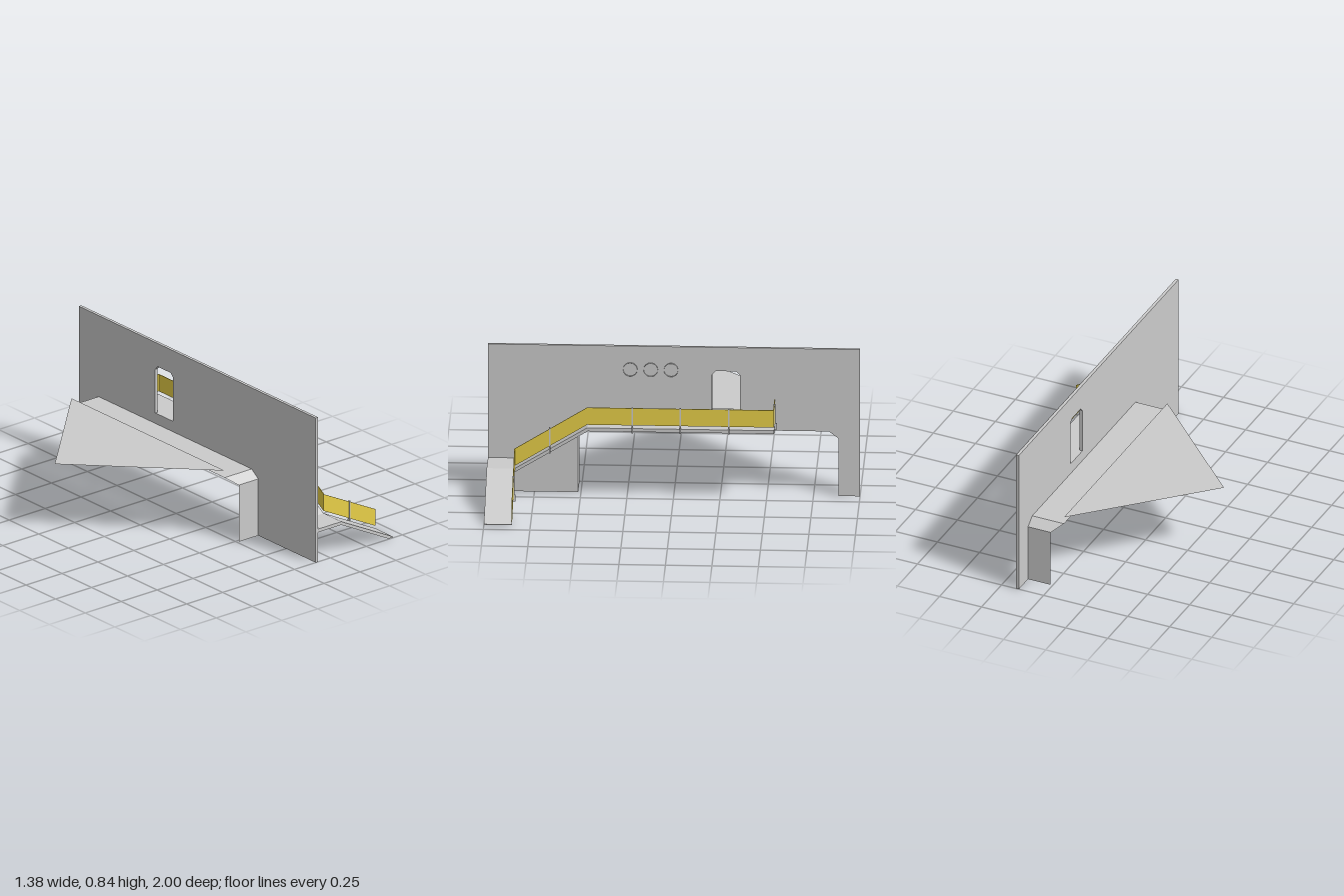
import * as THREE from 'three';

const grey = new THREE.MeshStandardMaterial({ color: 0xcccccc, flatShading: true });
const sheet = new THREE.MeshStandardMaterial({ color: 0xcccccc, flatShading: true, side: THREE.DoubleSide });
const yellow = new THREE.MeshStandardMaterial({ color: 0xe8d048, flatShading: true, side: THREE.DoubleSide });

const toShape = (pts) => new THREE.Shape(pts.map(([a, b]) => new THREE.Vector2(a, b)));

// Profile in (x, y), extruded along z from z0 to z1
function slabZ(shape, z0, z1) {
  return new THREE.ExtrudeGeometry(shape, { depth: z1 - z0, bevelEnabled: false }).translate(0, 0, z0);
}

// Profile in (z, y), extruded along x from x0 to x1
function slabX(shape, x0, x1) {
  return new THREE.ExtrudeGeometry(shape, { depth: x1 - x0, bevelEnabled: false })
    .rotateY(-Math.PI / 2).translate(x1, 0, 0);
}

// Open strip joining two polylines with the same number of points
function strip(a, b) {
  const pos = [];
  for (let i = 0; i < a.length - 1; i++) {
    pos.push(...a[i], ...b[i], ...b[i + 1], ...a[i], ...b[i + 1], ...a[i + 1]);
  }
  const g = new THREE.BufferGeometry();
  g.setAttribute('position', new THREE.Float32BufferAttribute(pos, 3));
  g.computeVertexNormals();
  return g;
}

export function createModel() {
  const model = new THREE.Group();
  model.name = 'wallWithWalkway';
  const add = (name, geometry, material = grey) => {
    const mesh = new THREE.Mesh(geometry, material);
    mesh.name = name;
    model.add(mesh);
  };
  const box = (name, x0, x1, y0, y1, z0, z1) =>
    add(name, new THREE.BoxGeometry(x1 - x0, y1 - y0, z1 - z0)
      .translate((x0 + x1) / 2, (y0 + y1) / 2, (z0 + z1) / 2));

  const wallBack = 0.147, wallFront = 0.164, deckEdge = 0.326;

  // Wall with a wide chamfered gateway and a doorway
  const gate = [[0.515, 0], [0.515, 0.33], [0.46, 0.37], [-0.833, 0.37], [-0.885, 0.33], [-0.885, 0]];
  const wall = toShape([[-1, 0], [-1, 0.843], [1, 0.843], [1, 0], ...gate]);
  wall.holes.push(toShape([
    [-0.205, 0.431], [-0.205, 0.685], [-0.225, 0.707],
    [-0.335, 0.707], [-0.355, 0.685], [-0.355, 0.431],
  ]));
  add('wall', slabX(wall, wallBack, wallFront));

  // Gateway lining behind the wall; its rear edge slants outward at the top
  add('gatewayLining', strip(
    gate.map(([z, y]) => [wallBack, y, z]),
    gate.map(([z, y]) => [y > 0.35 ? -0.042 : 0.012, y, z]),
  ), sheet);

  // Flat triangular canopy, set slightly above the lining
  add('canopy', strip(
    [[-0.042, 0.411, 0.46], [-0.042, 0.411, -0.833]],
    [[-0.688, 0.411, -0.19], [-0.688, 0.411, -0.19]],
  ), sheet);

  // Walkway: level deck, slope and landing
  add('walkway', slabX(toShape([
    [-0.545, 0.431], [0.46, 0.431], [0.85, 0.191], [1, 0.191],
    [1, 0.172], [0.847, 0.172], [0.457, 0.412], [-0.545, 0.412],
  ]), wallFront, deckEdge));

  // Ramp down to the ground
  add('ramp', slabZ(toShape([
    [deckEdge, 0.191], [0.687, 0.006], [0.687, 0.003], [0.655, 0.003], [deckEdge, 0.172],
  ]), 0.85, 1));

  // Yellow guard panels
  add('walkwayGuard', slabX(toShape([
    [-0.542, 0.548], [0.46, 0.548], [0.852, 0.304],
    [0.852, 0.206], [0.46, 0.45], [-0.542, 0.45],
  ]), deckEdge - 0.002, deckEdge + 0.002), yellow);
  add('rampGuard', slabZ(toShape([
    [deckEdge, 0.302], [0.687, 0.118], [0.687, 0.021], [deckEdge, 0.205],
  ]), 0.848, 0.852), yellow);
  add('endGuard', slabZ(toShape([
    [wallFront, 0.45], [wallFront, 0.548], [deckEdge, 0.548], [deckEdge, 0.45],
  ]), -0.544, -0.54), yellow);

  // Guard posts clasping the panels, each with a small foot bracket on the deck edge
  for (const [z, top] of [[-0.302, 0.552], [-0.04, 0.552], [0.218, 0.552], [0.66, 0.43]]) {
    box('walkwayPost', deckEdge - 0.004, deckEdge + 0.006, top - 0.14, top, z - 0.004, z + 0.004);
    box('walkwayPostFoot', deckEdge, deckEdge + 0.013, top - 0.143, top - 0.108, z - 0.004, z + 0.004);
  }
  box('endPost', 0.243, 0.251, 0.412, 0.552, -0.55, -0.538);
  box('endPostFoot', 0.243, 0.251, 0.41, 0.443, -0.557, -0.545);
  box('rampPost', 0.502, 0.51, 0.075, 0.215, 0.844, 0.854);
  box('rampPostFoot', 0.502, 0.51, 0.072, 0.108, 0.838, 0.85);

  // Three short open rings on the wall
  for (const z of [0.016, 0.125, 0.235]) {
    add('wallRing', new THREE.CylinderGeometry(0.038, 0.038, 0.01, 32, 1, true)
      .rotateZ(-Math.PI / 2).translate(wallFront + 0.005, 0.711, z), sheet);
  }

  return model;
}
